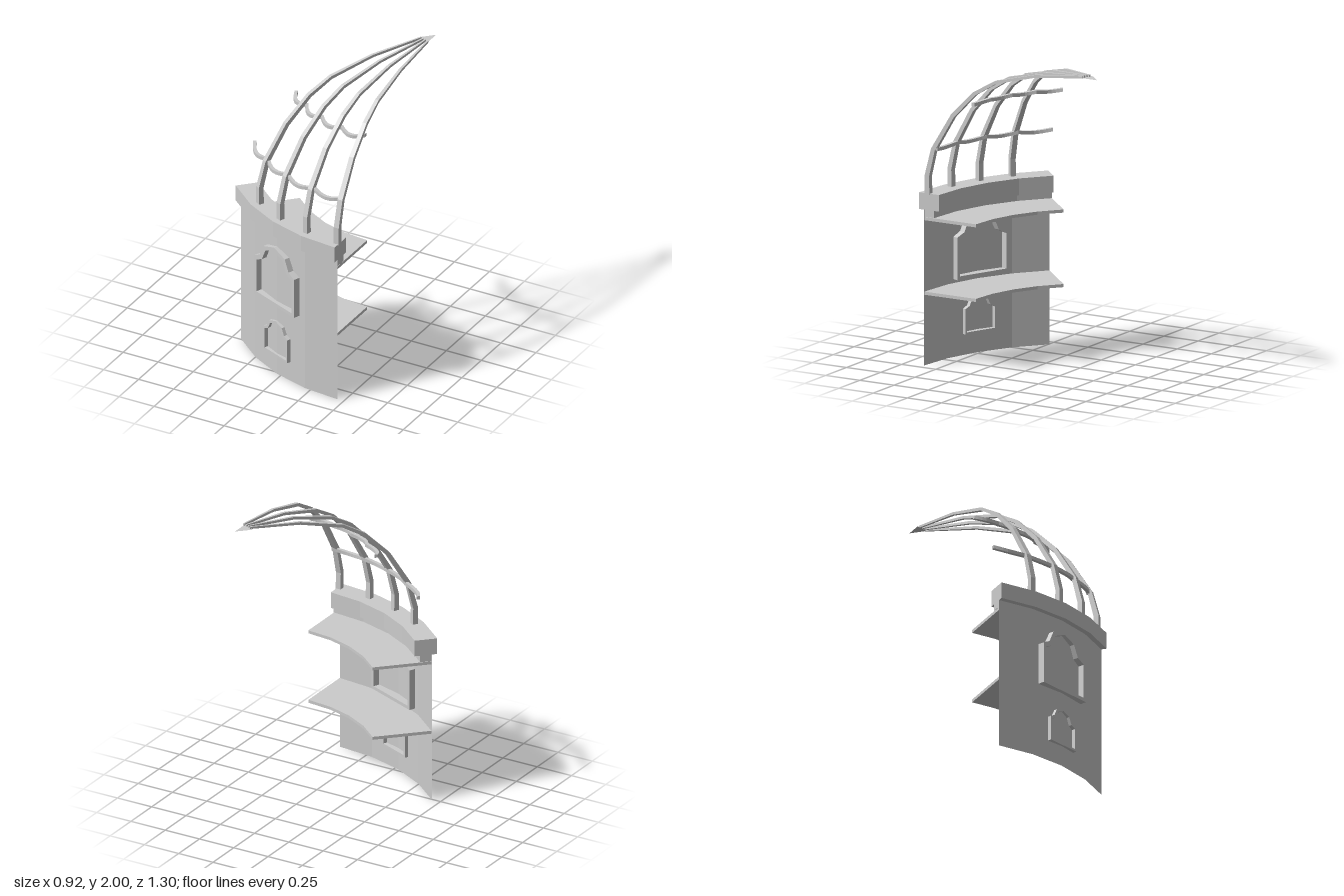
import * as THREE from 'three';

const material = new THREE.MeshStandardMaterial({ color: 0xcccccc, flatShading: true, side: THREE.DoubleSide });
const SECTOR = Math.PI / 4; // the building is one eighth of a round tower
const SEGMENTS = 4;
const STEP = SECTOR / SEGMENTS;

function addMesh(parent, name, geometry) {
  const mesh = new THREE.Mesh(geometry, material);
  mesh.name = name;
  parent.add(mesh);
  return mesh;
}

// Solid ring sector between two radii and two heights
function ringSector(r0, r1, y0, y1) {
  const pts = [];
  const add = (r, i) => pts.push(new THREE.Vector2(-r * Math.sin(i * STEP), -r * Math.cos(i * STEP)));
  for (let i = 0; i <= SEGMENTS; i++) add(r1, i);
  for (let i = SEGMENTS; i >= 0; i--) add(r0, i);
  const geo = new THREE.ExtrudeGeometry(new THREE.Shape(pts), { depth: y1 - y0, bevelEnabled: false });
  return geo.rotateX(-Math.PI / 2).translate(0, y0, 0);
}

// Joins four-cornered cross-sections into a closed bar
function sweep(sections) {
  const index = [];
  for (let i = 0; i < sections.length - 1; i++) {
    for (let j = 0; j < 4; j++) {
      const a = i * 4 + j, b = i * 4 + (j + 1) % 4;
      index.push(a, b, b + 4, a, b + 4, a + 4);
    }
  }
  const e = (sections.length - 1) * 4;
  index.push(0, 2, 1, 0, 3, 2, e, e + 1, e + 2, e, e + 2, e + 3);
  const geo = new THREE.BufferGeometry();
  geo.setAttribute('position', new THREE.Float32BufferAttribute(sections.flat(2), 3));
  geo.setIndex(index);
  const flat = geo.toNonIndexed();
  flat.computeVertexNormals();
  return flat;
}

// Curved roof rib, tapering towards the apex; points are [radius, height] of its outer edge
function ribGeometry() {
  const profile = [[1.257, 1.1], [1.257, 1.222], [1.21, 1.4], [1.065, 1.635], [0.9, 1.8],
    [0.745, 1.89], [0.45, 1.965], [0.105, 2.0]];
  const last = profile.length - 1;
  return sweep(profile.map(([r, y], i) => {
    const p = profile[Math.max(i - 1, 0)], q = profile[Math.min(i + 1, last)];
    const dr = q[0] - p[0], dy = q[1] - p[1], len = Math.hypot(dr, dy);
    const thick = 0.036 - 0.022 * i / last;
    const ri = r - thick * dy / len, yi = y + thick * dr / len;
    const w = 0.004 + 0.011 * r;
    return [[-w, yi, ri], [-w, y, r], [w, y, r], [w, yi, ri]];
  }));
}

// Scalloped tie: it sags and bulges outwards between neighbouring ribs
function tieGeometry(radius, height, bulge, sag) {
  const sections = [], per = 8, h = 0.011;
  for (let i = 0; i <= SEGMENTS * per; i++) {
    const a = i / per * STEP;
    const wave = Math.abs(Math.sin(i / per * Math.PI));
    const r = radius + bulge * wave, y = height - sag * wave;
    const at = (dr, dy) => [-(r + dr) * Math.sin(a), y + dy, (r + dr) * Math.cos(a)];
    sections.push([at(-h, -h), at(h, -h), at(h, h), at(-h, h)]);
  }
  return sweep(sections);
}

// Window surround with a stepped, arched head
function windowFrame(scale, border, depth) {
  const half = [[0.2, 0], [0.2, 0.272], [0.145, 0.3], [0.108, 0.378], [0, 0.415]];
  const outline = inset => {
    const right = half.map(([x, y], i) => [
      Math.max(0, x * scale - (x ? inset : 0)), y * scale + (i === 0 ? inset : -inset)]);
    const left = right.slice(0, -1).reverse().map(([x, y]) => [-x, y]);
    return [...right, ...left].map(([x, y]) => new THREE.Vector2(x, y));
  };
  const shape = new THREE.Shape(outline(0));
  shape.holes.push(new THREE.Path(outline(border)));
  return new THREE.ExtrudeGeometry(shape, { depth, bevelEnabled: false });
}

export function createModel() {
  const model = new THREE.Group();
  model.name = 'towerSection';
  // Everything is arranged around the tower's axis
  const tower = new THREE.Group();
  tower.name = 'tower';
  tower.position.set(0.455, 0, -0.65);
  model.add(tower);

  // Curved wall
  const wall = new THREE.CylinderGeometry(1.265, 1.265, 1, SEGMENTS, 1, true, -SECTOR, SECTOR);
  addMesh(tower, 'wall', wall.translate(0, 0.5, 0));

  // Floors and cornice
  addMesh(tower, 'lowerFloor', ringSector(0.885, 1.262, 0.455, 0.475));
  addMesh(tower, 'upperFloor', ringSector(0.885, 1.262, 0.933, 0.953));
  addMesh(tower, 'corniceStep', ringSector(1.19, 1.262, 0.955, 1.0));
  addMesh(tower, 'cornice', ringSector(1.155, 1.3, 1.0, 1.107));

  // Windows, centred on the wall
  const windows = new THREE.Group();
  windows.name = 'windows';
  windows.rotation.y = -SECTOR / 2;
  tower.add(windows);
  addMesh(windows, 'upperWindowFrame', windowFrame(1, 0.022, 0.085)).position.set(0, 0.5, 1.205);
  addMesh(windows, 'lowerWindowFrame', windowFrame(0.6, 0.013, 0.052)).position.set(0, 0.135, 1.228);

  // Roof ribs
  const ribGeo = ribGeometry();
  for (let i = 0; i < 4; i++) {
    addMesh(tower, 'roofRib', ribGeo).rotation.y = -THREE.MathUtils.degToRad(0.6 + i * 10.9);
  }

  // Scalloped ties and apex plate
  addMesh(tower, 'lowerTie', tieGeometry(1.177, 1.4, 0.026, 0.018));
  addMesh(tower, 'upperTie', tieGeometry(0.907, 1.717, 0.03, 0.014));
  const plate = new THREE.CircleGeometry(0.115, 2, -Math.PI / 2 - SECTOR, SECTOR);
  addMesh(tower, 'apexPlate', plate.rotateX(-Math.PI / 2).translate(0, 1.987, 0));

  return model;
}
